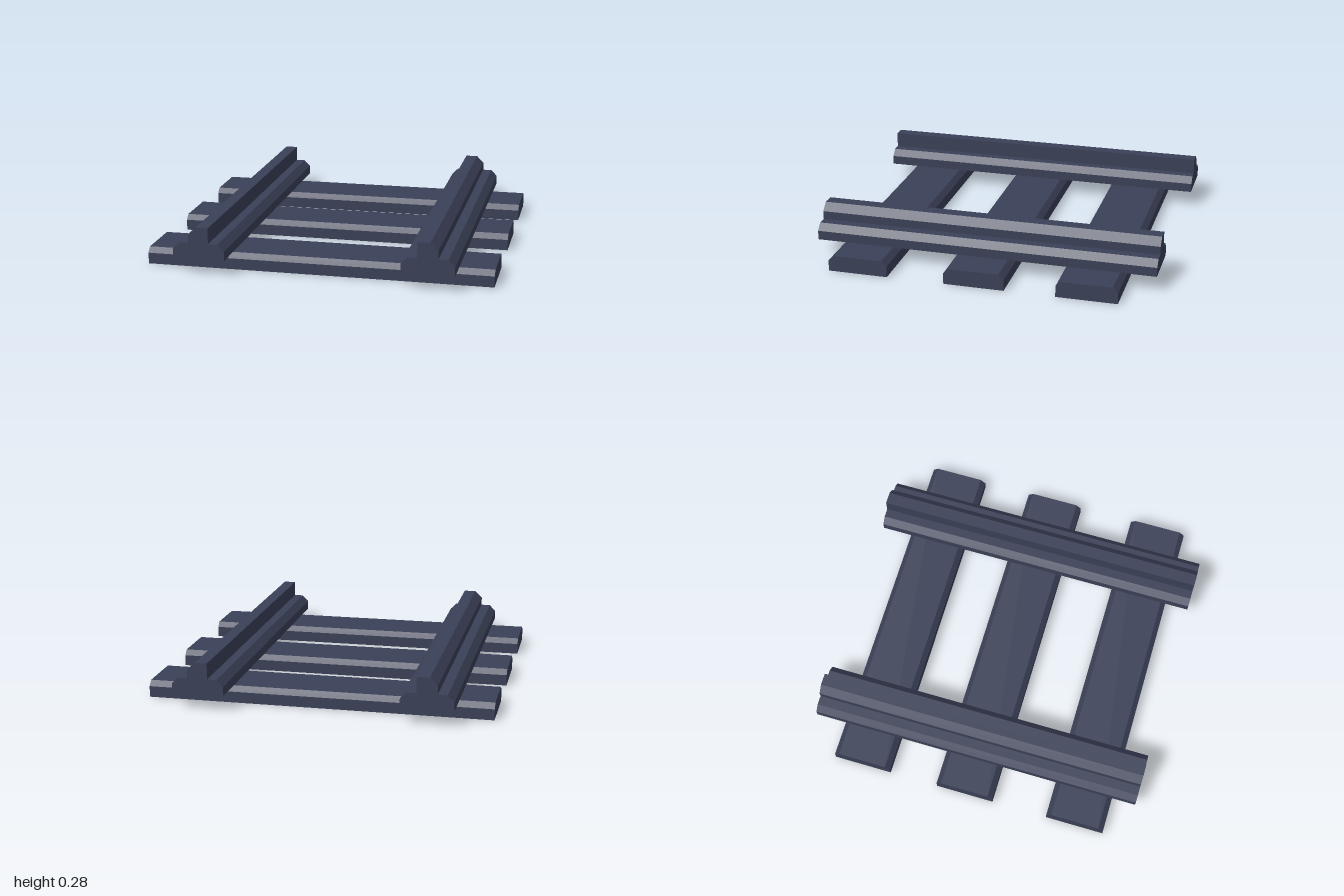
import * as THREE from 'three';

const steel = new THREE.MeshStandardMaterial({ color: 0x3a4057, side: THREE.DoubleSide });
steel.name = 'dark slate';

// Extrude a profile along z, centred, and leave its underside open
function hollowBar(points, length) {
  const shape = new THREE.Shape(points.map(([x, y]) => new THREE.Vector2(x, y)));
  const solid = new THREE.ExtrudeGeometry(shape, { depth: length, bevelEnabled: false });
  solid.translate(0, 0, -length / 2);
  const p = solid.attributes.position;
  const bottom = Math.min(...points.map((q) => q[1]));
  const kept = [];
  for (let i = 0; i < p.count; i += 3) {
    const corners = [i, i + 1, i + 2];
    if (corners.every((k) => Math.abs(p.getY(k) - bottom) < 1e-4)) continue;
    for (const k of corners) kept.push(p.getX(k), p.getY(k), p.getZ(k));
  }
  const geometry = new THREE.BufferGeometry();
  geometry.setAttribute('position', new THREE.Float32BufferAttribute(kept, 3));
  geometry.computeVertexNormals();
  return geometry;
}

// Right rail section: flange with chamfered edges, head chamfered on the outside
const railProfile = [
  [-0.8, 0.094], [-0.8, 0.148], [-0.763, 0.186], [-0.708, 0.186], [-0.708, 0.235],
  [-0.664, 0.278], [-0.592, 0.278], [-0.592, 0.186], [-0.538, 0.186], [-0.5, 0.148], [-0.5, 0.094],
];

const sleeperProfile = [
  [-0.175, 0], [-0.175, 0.064], [-0.145, 0.094], [0.145, 0.094], [0.175, 0.064], [0.175, 0],
];

export function createModel() {
  const group = new THREE.Group();
  group.name = 'railTrack';

  // Rails, mirrored left and right
  for (const [name, side] of [['rightRail', 1], ['leftRail', -1]]) {
    const rail = new THREE.Mesh(hollowBar(railProfile.map(([x, y]) => [x * side, y]), 2), steel);
    rail.name = name;
    group.add(rail);
  }

  // Sleepers running across under the rails
  const sleeperGeometry = hollowBar(sleeperProfile, 2).rotateY(Math.PI / 2);
  [['backSleeper', -0.648], ['middleSleeper', -0.003], ['frontSleeper', 0.683]].forEach(([name, z]) => {
    const sleeper = new THREE.Mesh(sleeperGeometry, steel);
    sleeper.name = name;
    sleeper.position.z = z;
    group.add(sleeper);
  });

  return group;
}
